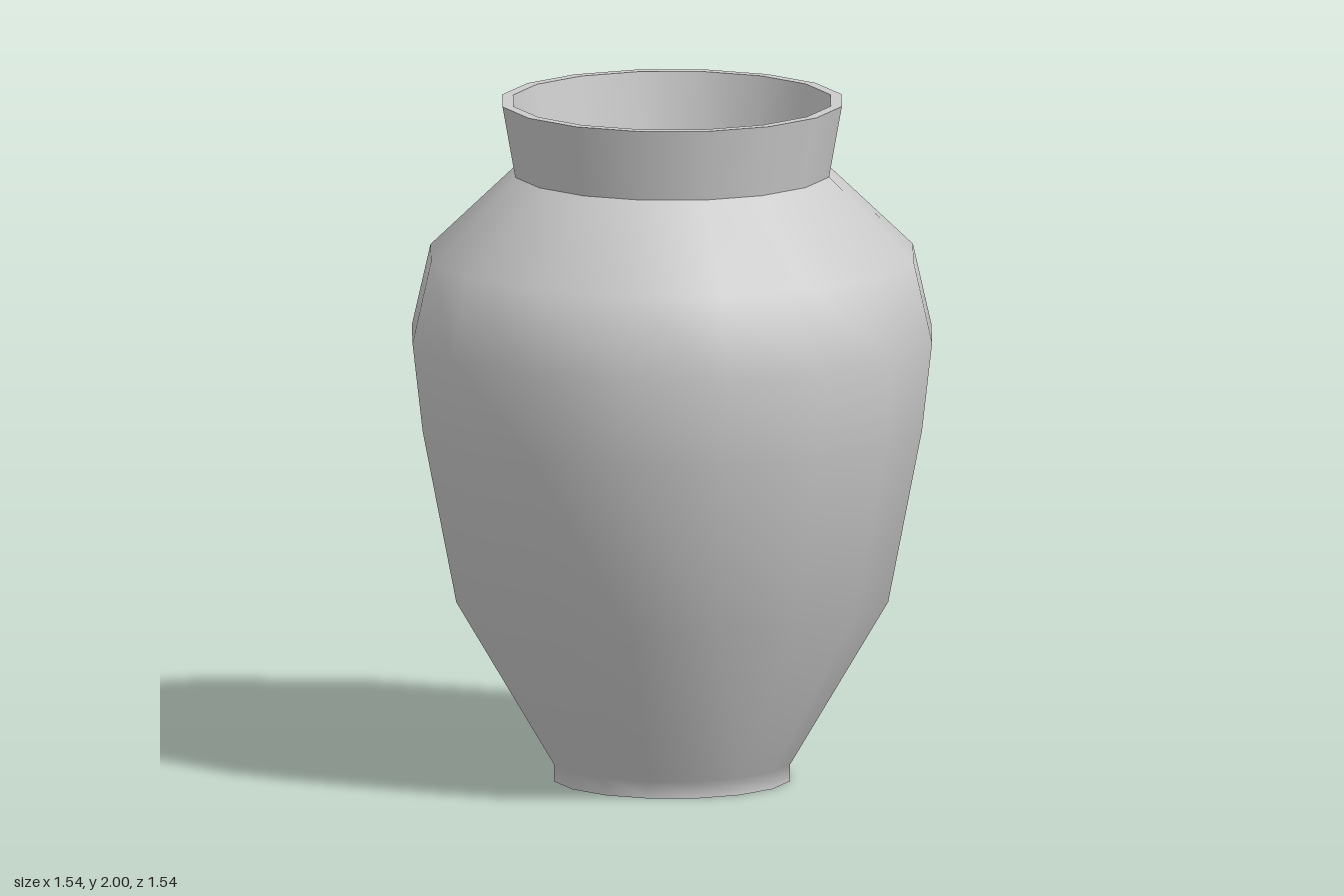
import * as THREE from 'three';

const SIDES = 16;
const material = new THREE.MeshStandardMaterial({ color: 0xcccccc });

export function createModel() {
  const vase = new THREE.Group();
  vase.name = 'vase';

  const add = (name, geometry) => {
    const mesh = new THREE.Mesh(geometry, material);
    mesh.name = name;
    vase.add(mesh);
    return mesh;
  };

  // Each band is smooth in itself; hard edges lie between bands.
  const band = (name, profile) =>
    add(name, new THREE.LatheGeometry(profile.map(([r, y]) => new THREE.Vector2(r, y)), SIDES));

  const disc = (name, radius, y, facing) => {
    const mesh = add(name, new THREE.CircleGeometry(radius, SIDES));
    mesh.rotation.x = -facing * Math.PI / 2;
    mesh.position.y = y;
  };

  // Outside, from the foot up to the lip
  band('bodyOutside', [
    [0.35, 0], [0.35, 0.05], [0.64, 0.54], [0.74, 1.05],
    [0.77, 1.31], [0.715, 1.55], [0.465, 1.79],
  ]);
  band('neckOutside', [[0.465, 1.79], [0.503, 2]]);
  band('rim', [[0.503, 2], [0.47, 2]]);

  // Inside, from the lip down to the floor
  band('neckInside', [[0.47, 2], [0.432, 1.78]]);
  band('bodyInside', [
    [0.432, 1.78], [0.685, 1.535], [0.735, 1.31],
    [0.705, 1.06], [0.608, 0.55], [0.34, 0.08],
  ]);

  // Underside and inner floor
  disc('underside', 0.35, 0, -1);
  disc('innerFloor', 0.34, 0.08, 1);

  return vase;
}
